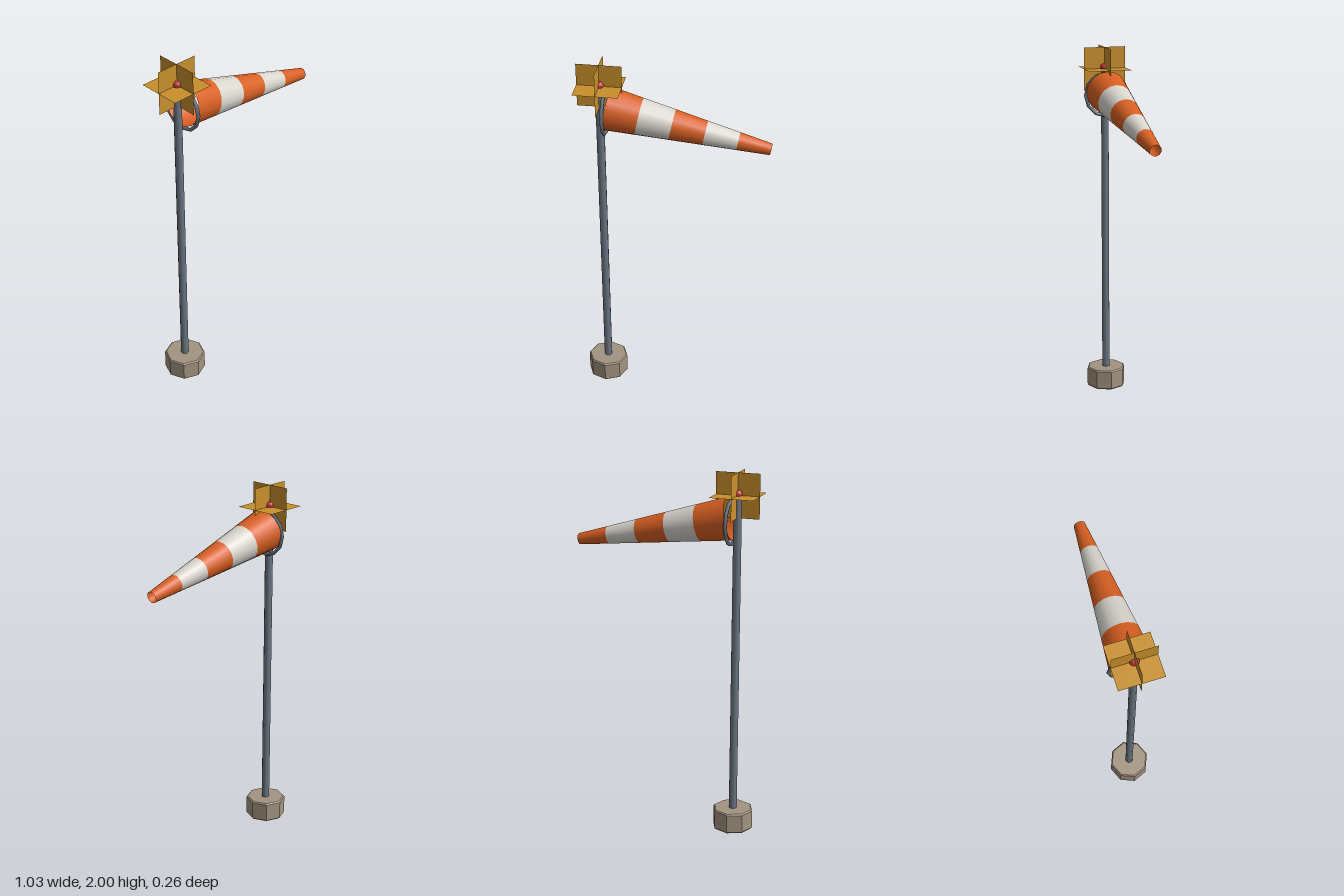
import * as THREE from 'three';

function material(name, color, options = {}) {
  const m = new THREE.MeshStandardMaterial({ color, ...options });
  m.name = name;
  return m;
}

export function createModel() {
  const model = new THREE.Group();
  model.name = 'windsock';

  const concrete = material('concrete', 0xa39480, { flatShading: true });
  const steel = material('steel', 0x6c7783);
  const orange = material('orange fabric', 0xd96022, { side: THREE.DoubleSide });
  const white = material('white fabric', 0xd9d6ce, { side: THREE.DoubleSide });
  const red = material('red lamp', 0xbd3530, { flatShading: true });
  const amber = material('amber panel', 0xc9902c, { side: THREE.DoubleSide });

  const poleX = -0.397;
  const add = (name, geometry, mat, x, y, z, parent = model) => {
    const mesh = new THREE.Mesh(geometry, mat);
    mesh.name = name;
    mesh.position.set(x, y, z);
    parent.add(mesh);
    return mesh;
  };

  // Octagonal footing with small bevels
  const profile = [[0, 0], [0.106, 0], [0.113, 0.007], [0.113, 0.108], [0.106, 0.115], [0, 0.115]]
    .map(([r, y]) => new THREE.Vector2(r, y));
  add('base', new THREE.LatheGeometry(profile, 8), concrete, poleX, 0, 0);

  // Mast
  add('pole', new THREE.CylinderGeometry(0.022, 0.022, 1.75, 10), steel, poleX, 0.985, 0);

  // Hoop that holds the mouth of the sock
  const hoop = add('hoop', new THREE.TorusGeometry(0.12, 0.01, 6, 12), steel, -0.367, 1.737, 0);
  hoop.rotation.y = Math.PI / 2;

  // Tapered sock in five equal bands, hanging slightly downwind
  const sock = new THREE.Group();
  sock.name = 'sock';
  sock.position.set(-0.362, 1.755, 0);
  sock.rotation.z = -Math.PI / 2 - 0.2;
  model.add(sock);
  const bands = 5, length = 0.885, mouth = 0.117, tip = 0.031;
  const radius = (i) => THREE.MathUtils.lerp(mouth, tip, i / bands);
  for (let i = 0; i < bands; i++) {
    const band = new THREE.CylinderGeometry(radius(i + 1), radius(i), length / bands, 16, 1, true);
    add('sockBand' + (i + 1), band, i % 2 ? white : orange, 0, (i + 0.5) * length / bands, 0, sock);
  }

  // Warning lamp
  add('lamp', new THREE.IcosahedronGeometry(0.027, 1), red, poleX, 1.885, 0);

  // Three crossed square panels around the lamp
  const turns = [[0, 0], [Math.PI / 2, 0], [0, Math.PI / 2]];
  turns.forEach(([rx, ry], i) => {
    const panel = add('panel' + (i + 1), new THREE.PlaneGeometry(0.24, 0.24), amber, poleX, 1.88, 0);
    panel.rotation.set(rx, ry, 0);
  });

  return model;
}
